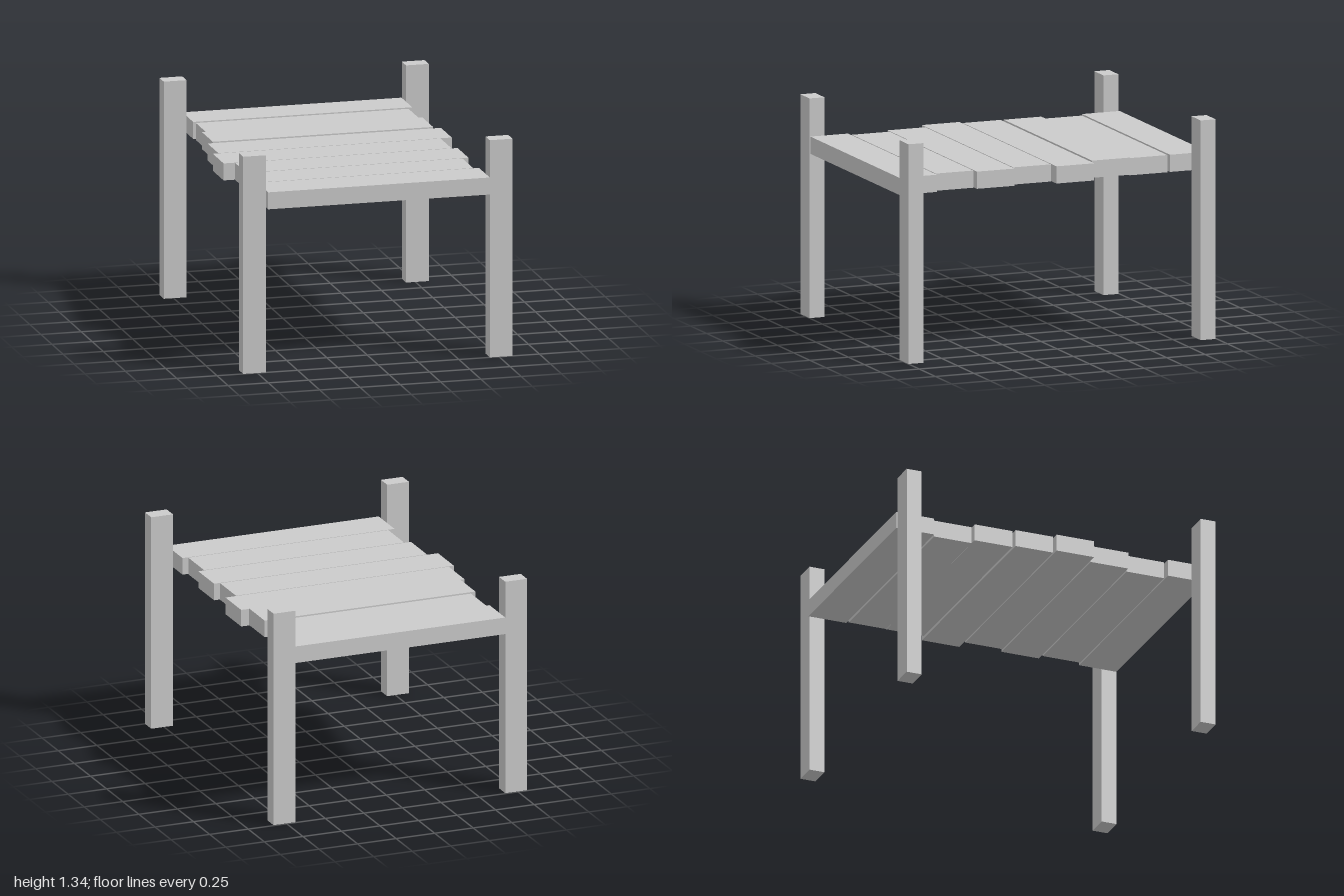
import * as THREE from 'three';

const material = new THREE.MeshStandardMaterial({ color: 0xcccccc, flatShading: true });

// Box given by its extents on each axis
function addBox(group, name, [x0, x1], [y0, y1], [z0, z1]) {
  const mesh = new THREE.Mesh(new THREE.BoxGeometry(x1 - x0, y1 - y0, z1 - z0), material);
  mesh.position.set((x0 + x1) / 2, (y0 + y1) / 2, (z0 + z1) / 2);
  mesh.name = name;
  group.add(mesh);
}

export function createModel() {
  const model = new THREE.Group();
  model.name = 'plankTable';

  // Four corner posts rising above the deck
  const height = [0, 1.34];
  const front = [0.903, 1.0];
  const back = [-0.993, -0.896];
  addBox(model, 'frontRightPost', [-0.838, -0.697], height, front);
  addBox(model, 'frontLeftPost', [0.692, 0.833], height, front);
  addBox(model, 'backRightPost', [-0.811, -0.67], height, back);
  addBox(model, 'backLeftPost', [0.692, 0.833], height, back);

  // Uneven deck planks from back to front: left end, right end, lift
  const planks = [
    [-0.667, 0.692, 0.006],
    [-0.652, 0.667, 0],
    [-0.683, 0.684, 0.007],
    [-0.717, 0.731, 0],
    [-0.753, 0.66, 0],
    [-0.683, 0.697, 0],
    [-0.64, 0.657, 0],
    [-0.683, 0.692, 0],
  ];
  const deck = new THREE.Group();
  deck.name = 'deck';
  planks.forEach(([x0, x1, lift], i) => {
    const z = -1 + i * 0.2508;
    addBox(deck, 'plank', [x0, x1], [1.005 + lift, 1.11 + lift], [z, z + 0.2444]);
  });
  model.add(deck);
  return model;
}
